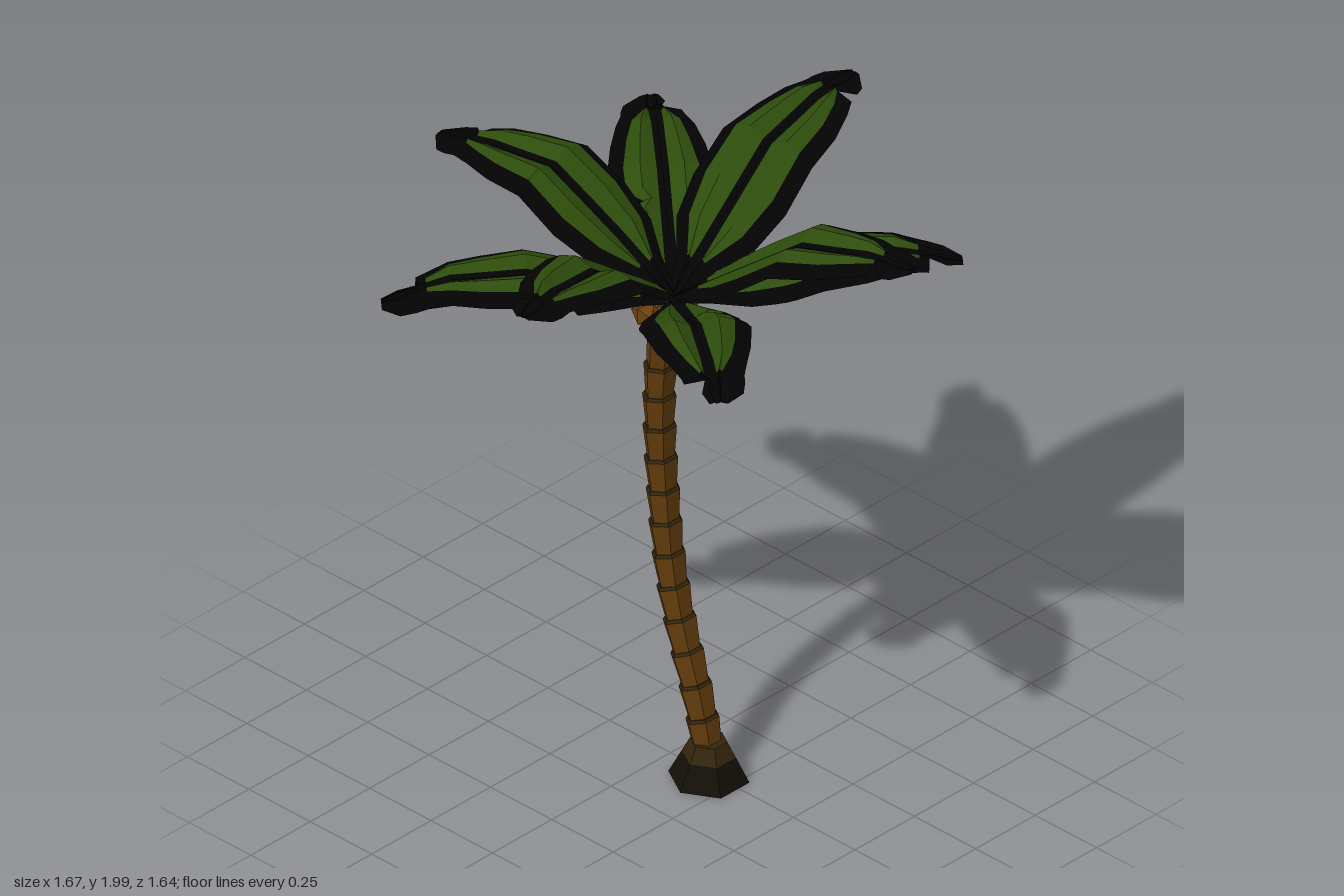
import * as THREE from 'three';

const mat = (name, color, side = THREE.FrontSide) =>
  Object.assign(new THREE.MeshStandardMaterial({ color, flatShading: true, side }), { name });

// Rows along a leaf: distance from the crown, half width on each side
const LONG = [
  [0, .02, .02], [.1, .075, .075], [.19, .148, .148], [.3, .175, .175], [.43, .168, .17],
  [.56, .145, .152], [.65, .115, .122], [.71, .092, .09], [.715, .09, .035], [.75, .088, .078],
  [.785, .078, .068], [.83, .02, .02],
];
// Lower leaves have a torn inner edge and a blunter tip
const TORN = [
  [0, .02, .02], [.1, .06, .06], [.22, .125, .125], [.29, .155, .145], [.32, .11, .152],
  [.35, .162, .155], [.43, .165, .155], [.56, .145, .135], [.65, .122, .11],
  [.72, .102, .085], [.745, .1, .08], [.75, .1, .02], [.8, .088, .035], [.85, .035, .02],
];

// Tip position seen from above, and heights at the distances in STEPS
const STEPS = [0, .22, .43, .66, .84];
const LEAVES = [
  { rows: LONG, tip: [.83, -.17], heights: [1.6, 1.78, 1.94, 1.985, 1.98] },
  { rows: LONG, tip: [-.835, .11], heights: [1.6, 1.77, 1.9, 1.885, 1.84] },
  { rows: LONG, tip: [-.048, -.82], heights: [1.6, 1.78, 1.94, 1.985, 1.975] },
  { rows: LONG, tip: [.18, .81], heights: [1.6, 1.78, 1.94, 1.985, 1.98] },
  { rows: TORN, tip: [.68, .51], heights: [1.59, 1.69, 1.785, 1.805, 1.77] },
  { rows: TORN, tip: [.58, -.63], heights: [1.59, 1.66, 1.73, 1.74, 1.69] },
  { rows: TORN, tip: [-.61, -.55], heights: [1.59, 1.69, 1.785, 1.81, 1.77] },
  { rows: TORN, tip: [-.56, .64], heights: [1.59, 1.66, 1.715, 1.7, 1.625] },
];

function heightAt(d, heights) {
  let i = 0;
  while (i < STEPS.length - 2 && d > STEPS[i + 1]) i++;
  return THREE.MathUtils.mapLinear(d, STEPS[i], STEPS[i + 1], heights[i], heights[i + 1]);
}

// Folded leaf blade: sunken dark rib, two raised green strips, drooping dark edge
function leafGeometry({ rows, tip, heights }) {
  const origin = [.015, 0];
  const dx = tip[0] - origin[0], dz = tip[1] - origin[1];
  const length = Math.hypot(dx, dz);
  const c = dx / length, s = dz / length;
  const stretch = length / rows[rows.length - 1][0];
  const clamp = THREE.MathUtils.clamp;
  const positions = [], dark = [], green = [];
  for (const [d, wl, wr] of rows) {
    // Green strips narrow towards both ends
    const taper = clamp((.77 - d) / .12, .1, 1) * clamp((d - .03) / .12, .1, 1);
    const half = (w, sign) => {
      const rib = Math.min(.018, w * .3), k = w / .17;
      const inner = rib + (Math.max(w - .048, w * .6) - rib) * taper;
      return [[rib, -.012], [(rib + inner) / 2, .012], [inner, -.004], [w, -.036]]
        .map(([u, y]) => [sign * u, y * k]);
    };
    const section = [...half(wl, -1).reverse(), [0, -.02 * (wl + wr) / .34], ...half(wr, 1)];
    const y = heightAt(d, heights), r = d * stretch;
    for (const [u, dy] of section)
      positions.push(origin[0] + c * r - s * u, y + dy, origin[1] + s * r + c * u);
  }
  const n = 9;
  for (let r = 0; r < rows.length - 1; r++) {
    for (let j = 0; j < n - 1; j++) {
      const a = r * n + j, b = a + n;
      const strip = [1, 2, 5, 6].includes(j);
      const inBlade = rows[r][0] >= .1 && rows[r][0] < .71;
      (strip && inBlade ? green : dark).push(a, a + 1, b, a + 1, b + 1, b);
    }
  }
  const geometry = new THREE.BufferGeometry();
  geometry.setAttribute('position', new THREE.Float32BufferAttribute(positions, 3));
  geometry.setIndex([...dark, ...green]);
  geometry.addGroup(0, dark.length, 0);
  geometry.addGroup(dark.length, green.length, 1);
  geometry.computeVertexNormals();
  return geometry;
}

export function createModel() {
  const model = new THREE.Group();
  model.name = 'palmTree';
  const bark = mat('bark', 0x623c0c);
  const barkRing = mat('barkRing', 0x32250e);
  const root = mat('root', 0x130f08);
  const nut = mat('nut', 0x6c4212);
  const leafGreen = mat('leafGreen', 0x2d4c0c, THREE.DoubleSide);
  const leafDark = mat('leafDark', 0x020302, THREE.DoubleSide);

  // Six-sided frustum between two points, narrowed across x by the given factor
  const up = new THREE.Vector3(0, 1, 0);
  function frustum(name, from, to, r0, r1, material, parent, narrow) {
    const axis = to.clone().sub(from);
    const geometry = new THREE.CylinderGeometry(r1, r0, axis.length(), 6).scale(narrow, 1, 1);
    const mesh = new THREE.Mesh(geometry, material);
    mesh.name = name;
    mesh.position.copy(from).add(to).multiplyScalar(.5);
    mesh.quaternion.setFromUnitVectors(up, axis.normalize());
    parent.add(mesh);
  }

  // Flared foot, dark below and brown above, with a brown underside
  const z = .015;
  const at = (x, y) => new THREE.Vector3(x, y, z);
  const foot = new THREE.Group();
  foot.name = 'foot';
  model.add(foot);
  frustum('footBase', at(.17, 0), at(.17, .08), .12, .08, [root, root, nut], foot, 1.03);
  frustum('footTop', at(.17, .08), at(.17, .13), .08, .055, barkRing, foot, 1.03);

  // Curved trunk of stacked segments, each widest at its top and capped by a thin dark ring
  const path = new THREE.CatmullRomCurve3(
    [[.165, .1], [.13, .25], [.075, .42], [.03, .58], [0, .75], [-.015, .9],
      [-.027, 1.05], [-.032, 1.25], [-.022, 1.4], [.008, 1.57]].map(([x, y]) => at(x, y)));
  const trunk = new THREE.Group();
  trunk.name = 'trunk';
  model.add(trunk);
  const count = 14;
  for (let i = 0; i < count; i++) {
    const from = path.getPointAt(i / count), to = path.getPointAt((i + 1) / count);
    const split = from.clone().lerp(to, .92);
    frustum('trunkSegment', from, split, .047, .057, bark, trunk, .86);
    frustum('trunkRing', split, to, .057, .05, i < count - 1 ? barkRing : bark, trunk, .86);
  }
  // Pointed trunk top reaching into the crown
  frustum('trunkTop', at(.008, 1.56), at(.015, 1.6), .05, .015, bark, trunk, .9);

  // Nuts under the crown
  for (const [x, y, nz] of [[-.05, 1.54, .045], [.03, 1.545, .055], [-.01, 1.54, -.055]]) {
    const mesh = new THREE.Mesh(new THREE.IcosahedronGeometry(.05, 0), nut);
    mesh.name = 'nut';
    mesh.position.set(x, y, nz);
    model.add(mesh);
  }

  // Crown of leaves
  const crown = new THREE.Group();
  crown.name = 'crown';
  model.add(crown);
  for (const leaf of LEAVES) {
    const mesh = new THREE.Mesh(leafGeometry(leaf), [leafDark, leafGreen]);
    mesh.name = leaf.rows === LONG ? 'upperLeaf' : 'lowerLeaf';
    crown.add(mesh);
  }
  return model;
}
